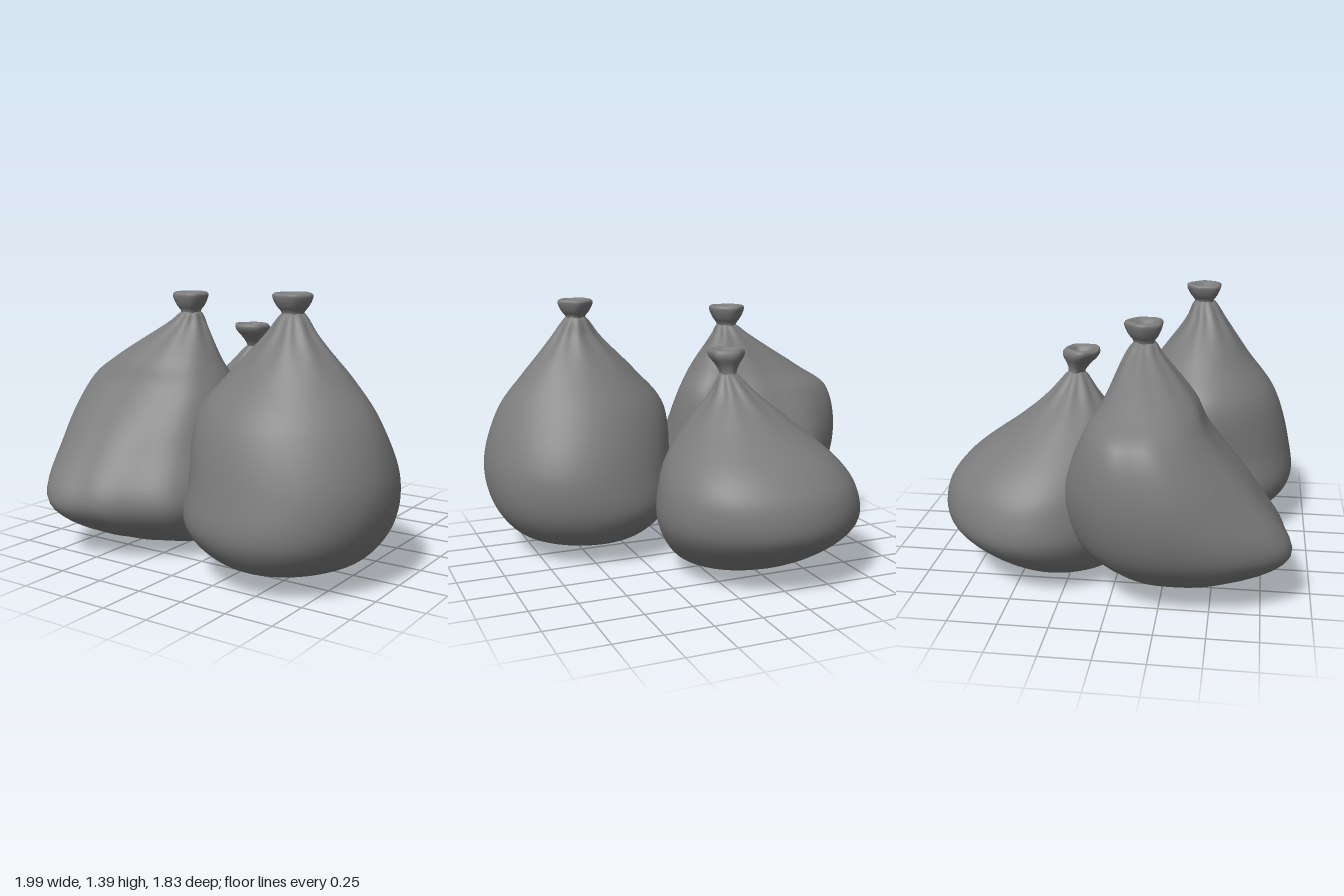
import * as THREE from 'three';
import { mergeVertices } from 'three/addons/utils/BufferGeometryUtils.js';

const material = new THREE.MeshStandardMaterial({ color: 0x7c7c7c });

// Smooth closed interpolation of evenly spaced values around a circle
function around(values, a) {
  const f = (a / (Math.PI * 2)) * values.length;
  const i = Math.floor(f);
  const s = (1 - Math.cos((f - i) * Math.PI)) / 2;
  return values[i] * (1 - s) + values[(i + 1) % values.length] * s;
}

// Smooth skin over level sections [y, xMin, xMax, zMin, zMax]; warp(angle, y) scales the radius
function skin(sections, warp, cols, rows) {
  const pos = [], index = [];
  const h = rows + 1;
  for (let i = 0; i < cols; i++) {
    const a = (i / cols) * Math.PI * 2;
    const strand = new THREE.CatmullRomCurve3(sections.map(([y, x0, x1, z0, z1]) => {
      const w = warp(a, y) / 2;
      return new THREE.Vector3(
        (x0 + x1) / 2 + (x1 - x0) * w * Math.cos(a), y,
        (z0 + z1) / 2 + (z1 - z0) * w * Math.sin(a));
    }));
    for (const p of strand.getPoints(rows)) pos.push(p.x, p.y, p.z);
    for (let j = 0; j < rows; j++) {
      const lo = i * h + j, next = ((i + 1) % cols) * h + j;
      index.push(lo, lo + 1, next + 1, lo, next + 1, next);
    }
  }
  const geo = new THREE.BufferGeometry();
  geo.setAttribute('position', new THREE.Float32BufferAttribute(pos, 3));
  geo.setIndex(index);
  const merged = mergeVertices(geo, 1e-4);
  merged.computeVertexNormals();
  return merged;
}

const disc = (x, y, z, r) => [y, x - r, x + r, z - r, z + r];

// Flared end above the neck, rolling over a rim into a shallow cup
function tiedEnd([x, y, z], neck, height, lean, seed) {
  const profile = [[-0.3, neck * 0.85], [0.1, neck], [0.35, neck * 1.35], [0.7, 0.092],
    [0.9, 0.095], [1, 0.082], [0.93, 0.06], [0.7, 0.03], [0.6, 0]];
  const sections = profile.map(([t, r]) => disc(x, y + height * t, z + lean * t, r));
  const crumple = (a) => 1 + 0.05 * Math.cos(5 * a + seed) + 0.04 * Math.cos(3 * a - seed);
  const mesh = new THREE.Mesh(skin(sections, crumple, 30, 32), material);
  mesh.name = 'tiedEnd';
  return mesh;
}

// Full body closed by a point below and the neck above, with pleats and soft dents.
// The plan changes from the low outline to the high one on the way up.
function bagBody([x, y, z], neck, levels, low, high, seed) {
  const [y0, x0, x1, z0, z1] = levels[0];
  const sections = [
    disc((x0 + x1) / 2, y0 - 0.02, (z0 + z1) / 2, 0),
    ...levels,
    disc(x, y, z, neck),
    disc(x, y + 0.03, z, 0),
  ];
  const warp = (a, level) => {
    const depth = y - level;
    const full = THREE.MathUtils.smoothstep(depth, 0, 0.4);
    const rise = THREE.MathUtils.smoothstep(level, 0.25, 0.85);
    const plan = THREE.MathUtils.lerp(around(low, a), around(high, a), rise);
    const pleat = 0.05 * Math.exp(-(((depth - 0.08) / 0.12) ** 2));
    return 1 + (plan - 1) * full
      + pleat * Math.cos(9 * a + seed)
      + 0.01 * full * Math.sin(4 * a + 7 * level + seed * 2);
  };
  const mesh = new THREE.Mesh(skin(sections, warp, 72, 64), material);
  mesh.name = 'body';
  return mesh;
}

function makeBag({ name, seed, knot, neck, height, lean = 0, low = [1], high = low, levels }) {
  const bag = new THREE.Group();
  bag.name = name;
  bag.add(bagBody(knot, neck, levels, low, high, seed), tiedEnd(knot, neck, height, lean, seed));
  return bag;
}

export function createModel() {
  const model = new THREE.Group();
  model.name = 'tiedBags';

  // Tall round bag at the front
  model.add(makeBag({
    name: 'leftBag', seed: 1, knot: [0.47, 1.3, 0.38], neck: 0.055, height: 0.1,
    levels: [
      [0.085, 0.28, 0.72, 0.1, 0.6], [0.13, 0.08, 0.84, -0.04, 0.79],
      [0.28, -0.05, 0.96, -0.15, 0.91], [0.5, -0.04, 1, -0.14, 0.89],
      [0.8, -0.02, 0.91, -0.01, 0.79], [1, 0.14, 0.77, 0.13, 0.64], [1.2, 0.34, 0.6, 0.28, 0.5]],
  }));

  // Slumped bag: a low corner at the front and a high shoulder at the side
  model.add(makeBag({
    name: 'rightBag', seed: 2, knot: [-0.33, 1.25, 0.13], neck: 0.055, height: 0.11,
    low: [1, 0.96, 0.87, 0.93, 1.08, 1.03, 1, 1.03, 1, 0.95, 0.88, 1],
    high: [0.97, 0.95, 0.9, 0.9, 0.97, 0.98, 1.01, 1.12, 1.09, 0.95, 0.84, 0.99],
    levels: [
      [0.025, -0.42, -0.15, 0.03, 0.25], [0.1, -0.7, -0.06, -0.01, 0.64],
      [0.3, -0.93, 0.03, -0.22, 0.9], [0.6, -0.99, -0.01, -0.23, 0.74],
      [0.88, -0.925, -0.06, -0.13, 0.5], [1, -0.77, -0.13, -0.06, 0.42],
      [1.2, -0.45, -0.25, 0.04, 0.22]],
  }));

  // Low wide bag behind, its neck leaning forward
  model.add(makeBag({
    name: 'backBag', seed: 3, knot: [-0.165, 1.04, -0.245], neck: 0.045, height: 0.13, lean: 0.035,
    low: [1, 1.06, 1.03, 1, 1, 1, 1, 1.02],
    levels: [
      [0.035, -0.4, 0, -0.36, -0.06], [0.1, -0.62, 0.14, -0.65, 0.02],
      [0.3, -0.8, 0.26, -0.9, 0.06], [0.47, -0.78, 0.26, -0.905, 0.045],
      [0.6, -0.7, 0.21, -0.82, 0.03], [0.8, -0.48, 0.05, -0.55, -0.03],
      [0.94, -0.31, -0.07, -0.38, -0.13]],
  }));
  return model;
}
